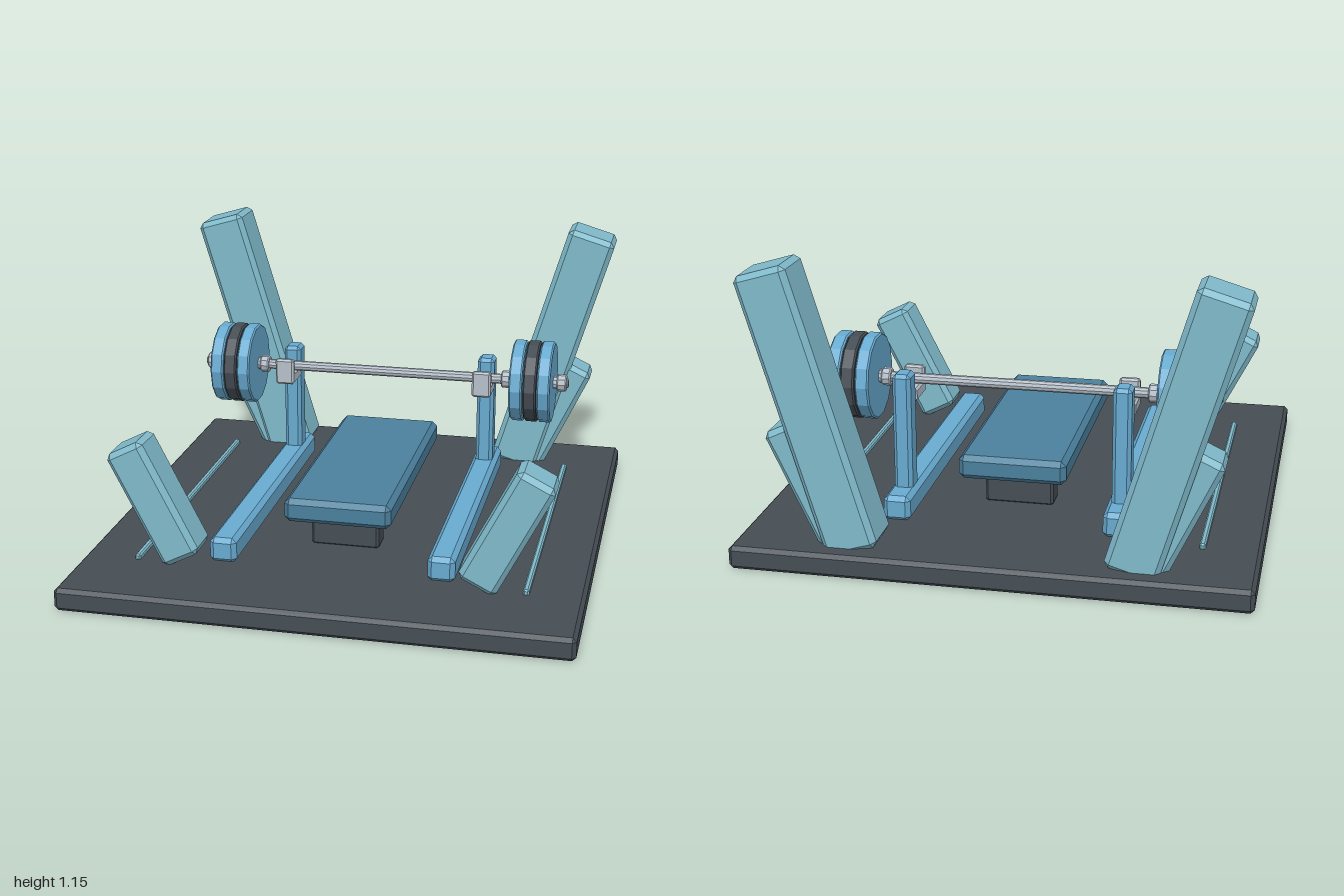
import * as THREE from 'three';
import { ConvexGeometry } from 'three/addons/geometries/ConvexGeometry.js';

const mat = (name, color) => {
  const m = new THREE.MeshStandardMaterial({ color });
  m.name = name;
  return m;
};

// Box with evenly chamfered edges
function chamferBox(w, h, d, c) {
  const half = [w / 2, h / 2, d / 2];
  const points = [];
  for (const sx of [-1, 1]) for (const sy of [-1, 1]) for (const sz of [-1, 1]) {
    for (let full = 0; full < 3; full++) {
      const p = [sx, sy, sz].map((s, i) => s * (half[i] - (i === full ? 0 : c)));
      points.push(new THREE.Vector3(...p));
    }
  }
  return new ConvexGeometry(points);
}

// Disc along x with chamfered rims, faceted
function disc(radius, width, sides, c) {
  const w = width / 2;
  const profile = [[0, -w], [radius - c, -w], [radius, -w + c], [radius, w - c], [radius - c, w], [0, w]];
  const g = new THREE.LatheGeometry(profile.map(p => new THREE.Vector2(...p)), sides).toNonIndexed();
  g.rotateZ(-Math.PI / 2);
  g.computeVertexNormals();
  return g;
}

export function createModel() {
  const model = new THREE.Group();
  model.name = 'benchPressStation';
  const charcoal = mat('charcoal', 0x454d54);
  const blue = mat('steel blue', 0x68aad0);
  const padBlue = mat('pad blue', 0x4b809d);
  const teal = mat('pale teal', 0x7fb9ca);
  const silver = mat('silver', 0xb6c0ca);

  function add(name, geometry, material, x, y, z, tilt = 0) {
    const mesh = new THREE.Mesh(geometry, material);
    mesh.name = name;
    mesh.position.set(x, y, z);
    mesh.rotation.z = tilt;
    model.add(mesh);
    return mesh;
  }
  // Box given by its min and max corners
  function span(name, material, a, b, c) {
    const size = a.map((v, i) => b[i] - v);
    const mid = a.map((v, i) => (v + b[i]) / 2);
    return add(name, chamferBox(...size, c), material, ...mid);
  }

  // Platform and bench
  span('platform', charcoal, [-0.97, 0, -1], [0.97, 0.09, 1], 0.015);
  span('benchPad', padBlue, [-0.21, 0.23, -0.52], [0.21, 0.325, 0.52], 0.02);
  for (const z of [-0.325, 0.325]) {
    span('benchLeg', charcoal, [-0.135, 0.085, z - 0.05], [0.135, 0.24, z + 0.05], 0.01);
  }

  // Barbell shaft
  const barZ = -0.375, barY = 0.58;
  add('barShaft', disc(0.021, 1.57, 10, 0.004), silver, 0, barY, barZ);

  for (const s of [-1, 1]) {
    const side = s > 0 ? 'left' : 'right';

    // Rack: floor rail, upright and bar hook
    const x = s * 0.425;
    span(side + 'Rail', blue, [x - 0.053, 0.085, -0.64], [x + 0.053, 0.185, 0.63], 0.018);
    span(side + 'Upright', blue, [x - 0.036, 0.12, -0.535], [x + 0.036, 0.64, -0.445], 0.014);
    span(side + 'HookBase', silver, [x - 0.04, 0.51, -0.455], [x + 0.04, 0.56, -0.315], 0.008);
    span(side + 'HookLip', silver, [x - 0.04, 0.51, -0.345], [x + 0.04, 0.62, -0.315], 0.008);

    // Collars and weight plates
    add(side + 'InnerCollar', disc(0.036, 0.038, 10, 0.005), silver, s * 0.523, barY, barZ);
    add(side + 'OuterCollar', disc(0.036, 0.04, 10, 0.005), silver, s * 0.757, barY, barZ);
    add(side + 'Sleeve', disc(0.026, 0.25, 10, 0.003), silver, s * 0.645, barY, barZ);
    [0.58, 0.638, 0.695].forEach((px, i) => {
      add(side + 'Plate', disc(0.17, 0.054, 14, 0.006), i === 1 ? charcoal : blue, s * px, barY, barZ);
    });

    // Leaning shards, placed by the middle of their top face
    const shard = (name, topX, topY, z, width, depth, length, angle) => {
      const cx = topX - Math.sin(angle) * length / 2;
      const cy = topY - Math.cos(angle) * length / 2;
      add(side + name, chamferBox(width, length, depth, 0.02), teal, s * cx, cy, z, -s * angle);
    };
    shard('TallShard', 0.83, 1.125, -0.827, 0.205, 0.205, 1.1, 0.29);
    shard('RearShard', 0.78, 0.535, -0.82, 0.155, 0.165, 0.5, 0.44);
    shard('FrontShard', 0.787, 0.55, 0.625, 0.16, 0.17, 0.49, 0.47);

    // Thin floor strip
    span(side + 'FloorStrip', teal, [s * 0.752 - 0.012, 0.085, -0.675], [s * 0.752 + 0.012, 0.11, 0.675], 0.006);
  }
  return model;
}
